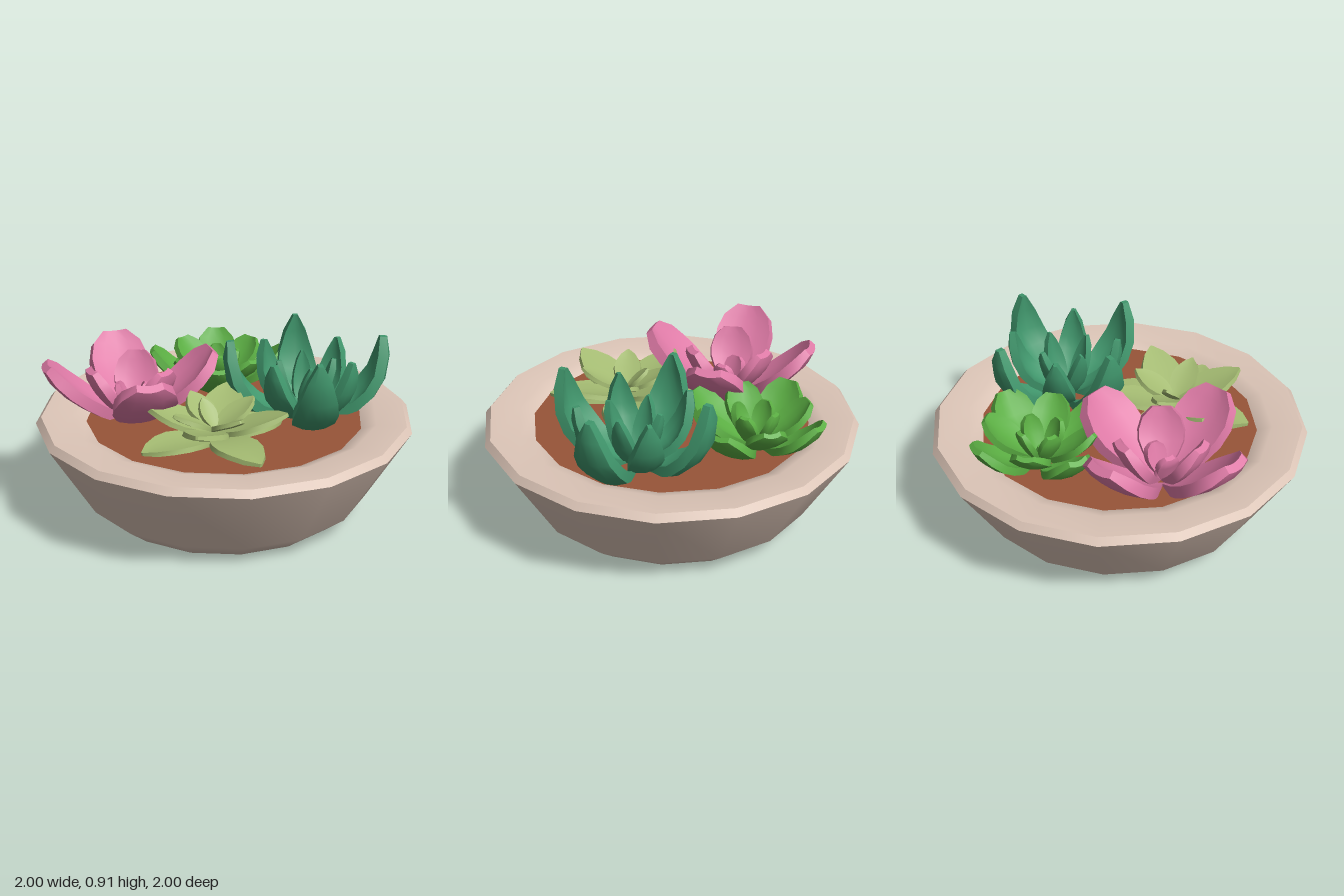
import * as THREE from 'three';
import { toCreasedNormals } from 'three/addons/utils/BufferGeometryUtils.js';

const mat = (name, color) => {
  const m = new THREE.MeshStandardMaterial({ color });
  m.name = name;
  return m;
};

// Half-width along a petal, base to tip, as a fraction of its widest point
const ROUNDED = [0.3, 0.5, 0.78, 0.97, 1, 0.84, 0.42];
const POINTED = [0.35, 0.65, 0.92, 1, 0.86, 0.52, 0.05];
const TAPERED = [0.45, 0.75, 0.96, 1, 0.84, 0.53, 0.12];

// A cupped, thick petal growing along +x; path holds [radius, height] points
function petalGeometry({ path, width, outline, cup, thick }) {
  const curve = new THREE.SplineCurve(path.map(([r, y]) => new THREE.Vector2(r, y)));
  const rows = outline.length, across = 5, loop = across * 2;
  const pos = [], index = [];
  for (let i = 0; i < rows; i++) {
    const t = i / (rows - 1);
    const p = curve.getPoint(t), d = curve.getTangent(t);
    const w = width * outline[i];
    const th = thick * (i === rows - 1 ? 0.7 : 1);
    for (let j = 0; j < loop; j++) {
      const top = j < across;
      const s = ((top ? j : loop - 1 - j) / (across - 1)) * 2 - 1;
      const off = cup * w * s * s - (top ? 0 : th);
      pos.push(p.x - d.y * off, p.y + d.x * off, s * w * (top ? 0.93 : 1));
    }
  }
  for (let i = 0; i < rows - 1; i++) {
    for (let j = 0; j < loop; j++) {
      const a = i * loop + j, b = i * loop + (j + 1) % loop;
      index.push(a, b, a + loop, b, b + loop, a + loop);
    }
  }
  // End caps, stitched between upper and lower skins
  const last = (rows - 1) * loop;
  for (let j = 0; j < across - 1; j++) {
    const k = loop - 1 - j;
    index.push(j, k, j + 1, j + 1, k, k - 1);
    index.push(last + j, last + j + 1, last + k, last + j + 1, last + k - 1, last + k);
  }
  const g = new THREE.BufferGeometry();
  g.setAttribute('position', new THREE.Float32BufferAttribute(pos, 3));
  g.setIndex(index);
  return toCreasedNormals(g, 0.6);
}

// Rings of petals around one centre; angle is in degrees from +x towards +z
function rosette(name, material, x, z, rings) {
  const plant = new THREE.Group();
  plant.name = name;
  plant.position.set(x, 0, z);
  for (const ring of rings) {
    const g = petalGeometry(ring);
    for (let i = 0; i < ring.count; i++) {
      const petal = new THREE.Mesh(g, material);
      petal.name = ring.name;
      petal.rotation.y = -THREE.MathUtils.degToRad(ring.angle + (i * 360) / ring.count);
      plant.add(petal);
    }
  }
  // Short core closing the middle
  const core = new THREE.Mesh(new THREE.CylinderGeometry(0.02, 0.05, 0.1, 8), material);
  core.name = 'core';
  core.position.y = 0.51;
  plant.add(core);
  return plant;
}

export function createModel() {
  const model = new THREE.Group();
  model.name = 'succulentBowl';
  const clay = mat('pale clay', 0xdcc5b7);
  const soilMat = mat('soil brown', 0x985438);
  const pink = mat('pink', 0xde7aa6);
  const teal = mat('teal green', 0x40966c);
  const green = mat('leaf green', 0x5bae43);
  const olive = mat('olive green', 0xa4bb72);

  // Sixteen-sided bowl, split where the rim has sharp edges
  const SIDES = 16, START = Math.PI / SIDES;
  const turned = (name, pts) => {
    const g = new THREE.LatheGeometry(pts.map(([r, y]) => new THREE.Vector2(r, y)), SIDES, START);
    const m = new THREE.Mesh(g, clay);
    m.name = name;
    model.add(m);
  };
  turned('bowlOuter', [[0, 0], [0.663, 0], [0.785, 0.1], [1.0196, 0.5]]);
  turned('bowlRimEdge', [[1.0196, 0.5], [0.99, 0.535]]);
  turned('bowlInner', [[0.99, 0.535], [0.83, 0.528], [0.75, 0.498], [0.69, 0.44]]);

  const soil = new THREE.Mesh(new THREE.CylinderGeometry(0.765, 0.72, 0.05, SIDES, 1, false, START), soilMat);
  soil.name = 'soil';
  soil.position.y = 0.473;
  model.add(soil);

  // Pink plant with four broad petals and a steep inner trio
  model.add(rosette('pinkSucculent', pink, -0.46, -0.22, [
    { name: 'outerPetal', count: 4, angle: 2, width: 0.17, outline: ROUNDED, cup: 0.2, thick: 0.06,
      path: [[0.03, 0.48], [0.18, 0.56], [0.34, 0.68], [0.45, 0.81]] },
    { name: 'innerPetal', count: 3, angle: 52, width: 0.125, outline: ROUNDED, cup: 0.2, thick: 0.05,
      path: [[0.02, 0.49], [0.1, 0.57], [0.17, 0.66], [0.22, 0.77]] },
    { name: 'heartPetal', count: 2, angle: 20, width: 0.06, outline: ROUNDED, cup: 0.2, thick: 0.035,
      path: [[0.01, 0.5], [0.04, 0.58], [0.07, 0.66]] },
  ]));

  // Tall teal plant with upright tips
  model.add(rosette('tealSucculent', teal, 0.445, 0.07, [
    { name: 'outerPetal', count: 4, angle: 13, width: 0.12, outline: TAPERED, cup: 0.3, thick: 0.055,
      path: [[0.04, 0.47], [0.26, 0.54], [0.385, 0.7], [0.4, 0.91]] },
    { name: 'middlePetal', count: 4, angle: 58, width: 0.09, outline: TAPERED, cup: 0.3, thick: 0.045,
      path: [[0.03, 0.48], [0.18, 0.56], [0.26, 0.68], [0.28, 0.84]] },
    { name: 'innerPetal', count: 4, angle: 13, width: 0.06, outline: TAPERED, cup: 0.3, thick: 0.035,
      path: [[0.02, 0.49], [0.08, 0.57], [0.12, 0.68], [0.14, 0.79]] },
  ]));

  // Low bright green plant
  model.add(rosette('greenSucculent', green, 0.12, -0.49, [
    { name: 'outerPetal', count: 4, angle: 17, width: 0.125, outline: ROUNDED, cup: 0.25, thick: 0.04,
      path: [[0.03, 0.48], [0.16, 0.52], [0.28, 0.59], [0.37, 0.7]] },
    { name: 'middlePetal', count: 4, angle: 62, width: 0.105, outline: ROUNDED, cup: 0.25, thick: 0.035,
      path: [[0.02, 0.49], [0.12, 0.55], [0.22, 0.62], [0.29, 0.7]] },
    { name: 'innerPetal', count: 4, angle: 17, width: 0.06, outline: ROUNDED, cup: 0.25, thick: 0.03,
      path: [[0.01, 0.49], [0.05, 0.55], [0.09, 0.62], [0.11, 0.69]] },
  ]));

  // Flat olive plant with pointed petals
  model.add(rosette('oliveSucculent', olive, -0.155, 0.3, [
    { name: 'outerPetal', count: 4, angle: 76, width: 0.125, outline: POINTED, cup: 0.1, thick: 0.025,
      path: [[0.02, 0.51], [0.15, 0.535], [0.3, 0.54], [0.43, 0.53]] },
    { name: 'middlePetal', count: 4, angle: 31, width: 0.12, outline: POINTED, cup: 0.1, thick: 0.025,
      path: [[0.02, 0.55], [0.14, 0.59], [0.26, 0.635], [0.38, 0.68]] },
    { name: 'innerPetal', count: 4, angle: 76, width: 0.08, outline: POINTED, cup: 0.12, thick: 0.022,
      path: [[0.01, 0.57], [0.09, 0.61], [0.17, 0.65], [0.24, 0.69]] },
    { name: 'heartPetal', count: 1, angle: -104, width: 0.05, outline: POINTED, cup: 0.15, thick: 0.02,
      path: [[0, 0.57], [0.06, 0.63], [0.12, 0.69]] },
  ]));

  return model;
}
